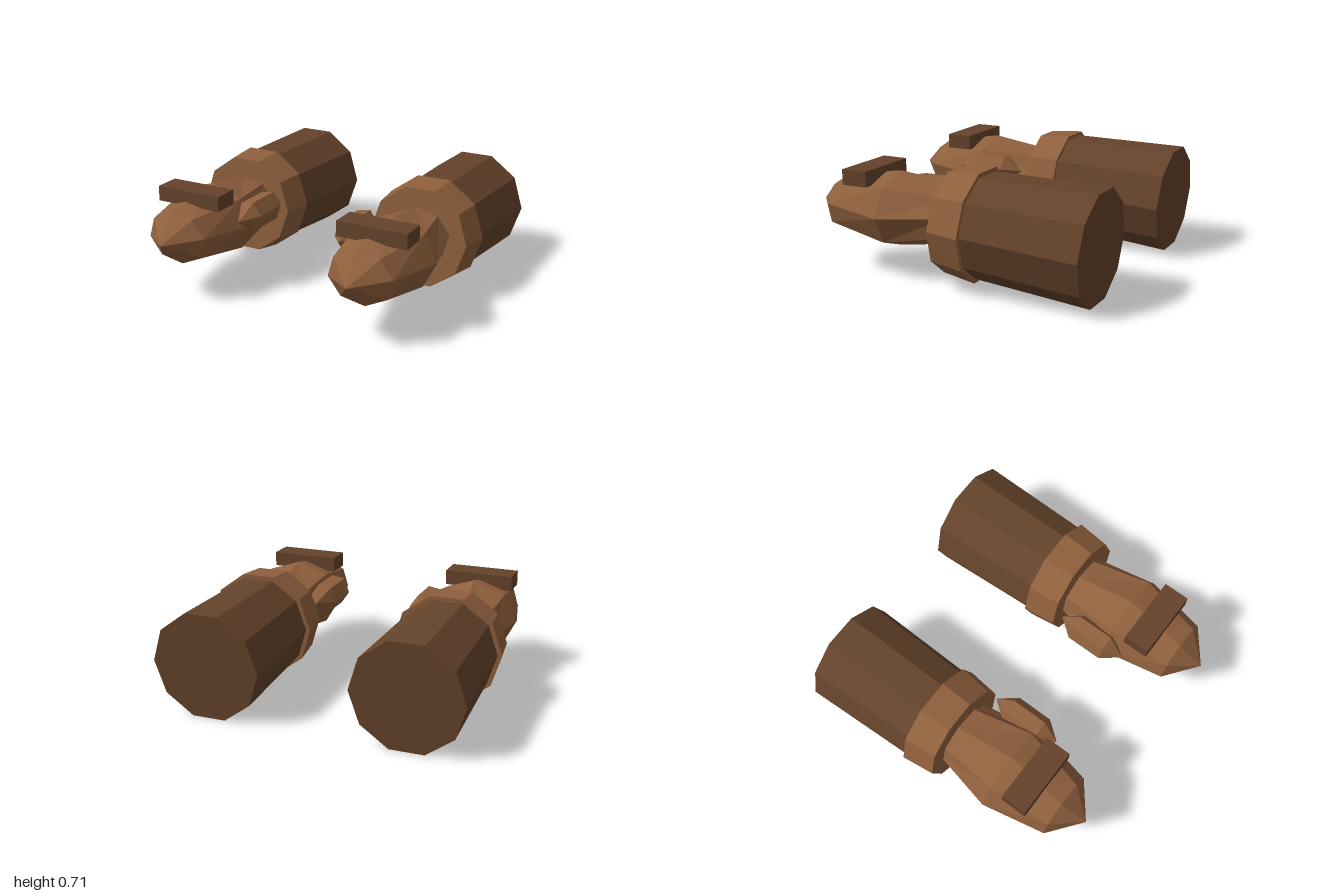
import * as THREE from 'three';

const lightBrown = new THREE.MeshStandardMaterial({ name: 'lightBrown', color: 0x8f603d, flatShading: true });
const darkBrown = new THREE.MeshStandardMaterial({ name: 'darkBrown', color: 0x65432b, flatShading: true });

function part(name, geometry, material, x = 0, y = 0, z = 0) {
  const mesh = new THREE.Mesh(geometry, material);
  mesh.name = name;
  mesh.position.set(x, y, z);
  return mesh;
}

// Ten-sided tapered tube along z, with corners at its left and right
function tube(frontRadius, backRadius, length) {
  return new THREE.CylinderGeometry(frontRadius, backRadius, length, 10)
    .rotateY(Math.PI / 2).rotateX(Math.PI / 2);
}

// Low-poly ellipsoid with its poles on z; rings off the middle are twisted a little
function pod(rx, ry, rz, sides, rings, twist) {
  const g = new THREE.SphereGeometry(1, sides, rings).rotateX(Math.PI / 2);
  const p = g.attributes.position;
  const v = new THREE.Vector3();
  const axis = new THREE.Vector3(0, 0, 1);
  for (let i = 0; i < p.count; i++) {
    v.fromBufferAttribute(p, i);
    if (Math.abs(v.z) > 0.1) v.applyAxisAngle(axis, twist);
    p.setXYZ(i, v.x * rx, v.y * ry, v.z * rz);
  }
  g.computeVertexNormals();
  return g;
}

function createArm(side) {
  const arm = new THREE.Group();
  arm.name = side > 0 ? 'leftArm' : 'rightArm';
  arm.position.x = side * 0.643;

  // Sleeve and cuff, rising slightly toward the hand
  const forearm = new THREE.Group();
  forearm.name = 'forearm';
  forearm.position.set(0, 0.392, 0.01);
  forearm.rotation.x = -THREE.MathUtils.degToRad(3);
  forearm.add(
    part('sleeve', tube(0.322, 0.355, 0.9), darkBrown, 0, 0, -0.515),
    part('cuff', tube(0.33, 0.356, 0.214), lightBrown, 0, 0, -0.107)
  );

  // Closed hand, thumb on the inner side and knuckle bar on top
  arm.add(
    forearm,
    part('hand', pod(0.3, 0.24, 0.58, 8, 4, 0.16), lightBrown, 0, 0.415, 0.39),
    part('thumb', pod(0.105, 0.12, 0.24, 6, 3, 0.15), lightBrown, side * -0.287, 0.483, 0.292),
    part('knuckleBar', new THREE.BoxGeometry(0.455, 0.097, 0.17), darkBrown, 0, 0.63, 0.58)
  );
  return arm;
}

export function createModel() {
  const model = new THREE.Group();
  model.name = 'armPair';
  for (const side of [-1, 1]) model.add(createArm(side));
  return model;
}
